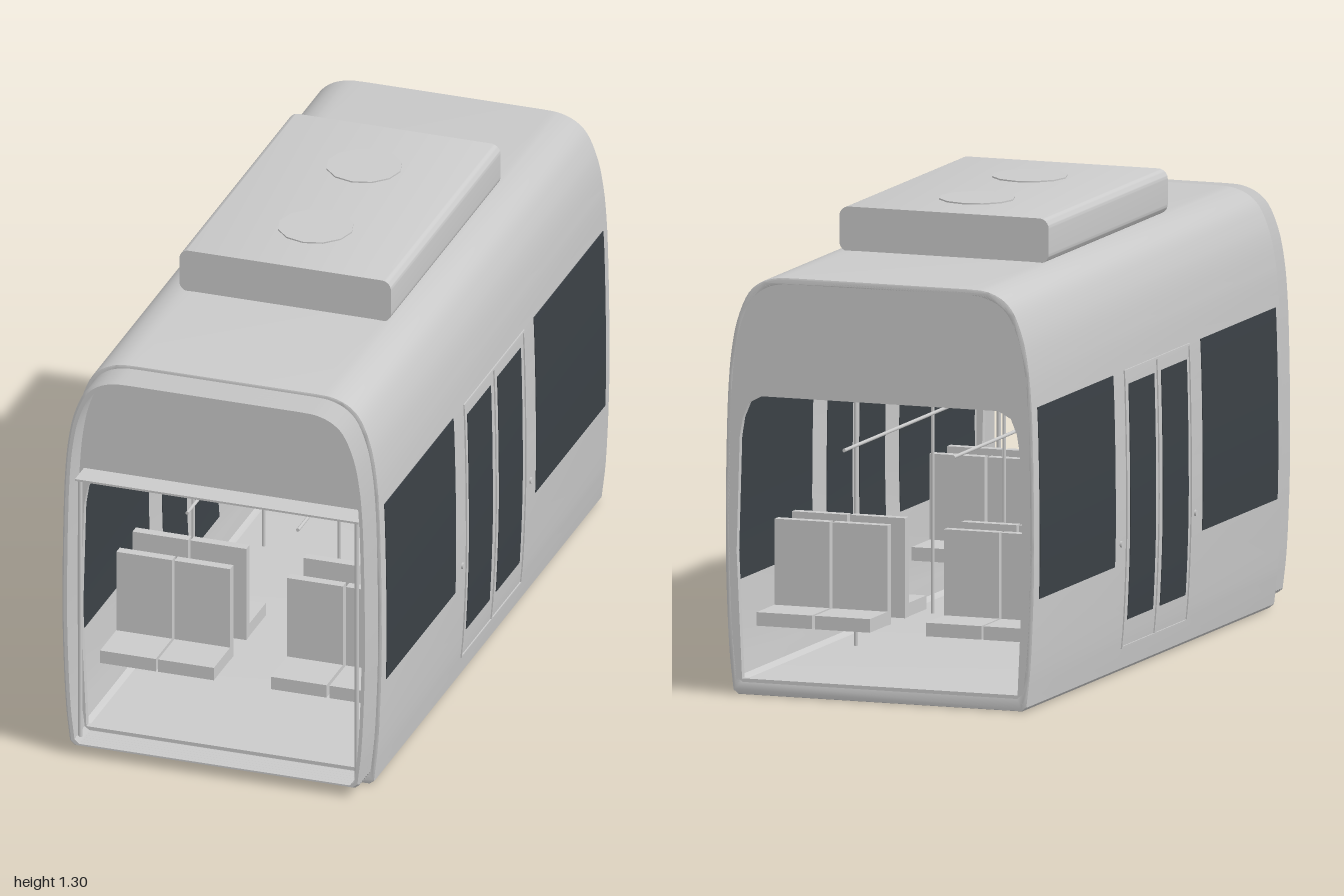
import * as THREE from 'three';
import { toCreasedNormals } from 'three/addons/utils/BufferGeometryUtils.js';

const grey = new THREE.MeshStandardMaterial({ color: 0xcacaca });
grey.name = 'bodyGrey';
const dark = new THREE.MeshStandardMaterial({ color: 0x3b4146 });
dark.name = 'glassDark';

// Half of the body section, from the sill up to the middle of the roof
const wall = new THREE.CatmullRomCurve3([
  [0.435, 0.012], [0.447, 0.12], [0.457, 0.35], [0.458, 0.5], [0.455, 0.72], [0.450, 0.86],
  [0.441, 0.96], [0.423, 1.05], [0.39, 1.125], [0.355, 1.156], [0.31, 1.172], [0.26, 1.175],
].map(([x, y]) => new THREE.Vector3(x, y, 0))).getPoints(44);

// Half section rescaled to a half width and a height range
const half = (w, y0, y1) => [new THREE.Vector2(0.42 * w / 0.46, y0),
  ...wall.map((p) => new THREE.Vector2(p.x * w / 0.46, y0 + (p.y / 1.175) * (y1 - y0)))];
const mirrored = (pts) => [...pts, ...pts.map((p) => new THREE.Vector2(-p.x, p.y)).reverse()];
const outline = (w, y0, y1) => mirrored(half(w, y0, y1));

const OUTER = half(0.46, 0, 1.175);
const INNER = half(0.443, 0.04, 1.152);

// Wall half width at height y
function widthAt(pts, y) {
  const i = Math.max(1, pts.findIndex((p) => p.y >= y));
  const a = pts[i - 1], b = pts[i];
  return a.x + (b.x - a.x) * (y - a.y) / (b.y - a.y);
}

function add(parent, name, geo, mat = grey, x = 0, y = 0, z = 0) {
  const m = new THREE.Mesh(geo, mat);
  m.name = name;
  m.position.set(x, y, z);
  parent.add(m);
  return m;
}

// Box given by its limits
function box(parent, name, [x0, x1], [y0, y1], [z0, z1], mat = grey) {
  return add(parent, name, new THREE.BoxGeometry(x1 - x0, y1 - y0, z1 - z0), mat,
    (x0 + x1) / 2, (y0 + y1) / 2, (z0 + z1) / 2);
}

// Thin plate bent to follow the side wall
function wallPlate(parent, name, side, pts, offset, [z0, z1], [y0, y1], mat) {
  const g = new THREE.BoxGeometry(0.006, y1 - y0, z1 - z0, 1, 14, 1);
  g.translate(0, (y0 + y1) / 2, (z0 + z1) / 2);
  const p = g.attributes.position;
  for (let i = 0; i < p.count; i++) {
    p.setX(i, p.getX(i) + side * (widthAt(pts, p.getY(i)) + offset));
  }
  g.computeVertexNormals();
  add(parent, name, toCreasedNormals(g, 0.6), mat);
}

// Surface through a list of closed rings {pts, z}
function loft(rings) {
  const n = rings[0].pts.length, pos = [], idx = [];
  rings.forEach((r) => r.pts.forEach((p) => pos.push(p.x, p.y, r.z)));
  for (let k = 0; k < rings.length - 1; k++) {
    for (let j = 0; j < n; j++) {
      const a = k * n + j, b = k * n + (j + 1) % n;
      idx.push(a, b, b + n, a, b + n, a + n);
    }
  }
  const g = new THREE.BufferGeometry();
  g.setAttribute('position', new THREE.Float32BufferAttribute(pos, 3));
  g.setIndex(idx);
  return toCreasedNormals(g, 0.5);
}

function holed(outer, hole, options) {
  const s = new THREE.Shape(outer);
  s.holes.push(new THREE.Path(hole));
  return toCreasedNormals(new THREE.ExtrudeGeometry(s, options), 0.5);
}

export function createModel() {
  const model = new THREE.Group();
  model.name = 'tramSection';

  // Hollow body shell with softened ends
  add(model, 'bodyShell', holed(mirrored(OUTER), mirrored(INNER), {
    depth: 1.895, bevelEnabled: true, bevelThickness: 0.005, bevelSize: 0.005,
    bevelOffset: -0.005, bevelSegments: 2,
  }), grey, 0, 0, -0.995);

  // End walls with an arched gangway opening
  const arch = mirrored([[0.408, 0.045], [0.424, 0.4], [0.415, 0.72], [0.406, 0.775], [0.388, 0.818], [0.35, 0.838]]
    .map(([x, y]) => new THREE.Vector2(x, y)));
  for (const [name, z] of [['frontEndWall', 0.885], ['backEndWall', -1]]) {
    add(model, name, holed(outline(0.452, 0.012, 1.165), arch, { depth: 0.02, bevelEnabled: false }), grey, 0, 0, z);
  }

  // Pleated bellows: outer skin forwards, inner skin back
  const pleats = 7, skin = (inset) => Array.from({ length: pleats * 2 + 1 }, (_, i) => {
    const d = inset + (i % 2 ? 0 : 0.006);
    return { pts: outline(0.449 - d, 0.028 + d * 0.5, 1.166 - d), z: 0.9 + 0.1 * i / (pleats * 2) };
  });
  add(model, 'bellows', loft([...skin(0), ...skin(0.01).reverse()]));

  // Gangway shelf and posts inside the bellows
  box(model, 'gangwayShelf', [-0.415, 0.415], [0.832, 0.838], [0.9, 0.98]);
  for (const s of [-1, 1]) {
    add(model, 'gangwayPost', new THREE.CylinderGeometry(0.006, 0.006, 0.79, 10), grey, s * 0.405, 0.437, 0.965);
  }

  // Windows, doors and door buttons on both sides
  for (const s of [-1, 1]) {
    for (const z of [[0.292, 0.868], [-0.96, -0.38]]) {
      wallPlate(model, 'window', s, OUTER, -0.001, z, [0.312, 0.848], dark);
      wallPlate(model, 'windowInside', s, INNER, 0.001, z, [0.312, 0.848], dark);
    }
    for (const glass of [[-0.015, 0.18], [-0.265, -0.07]]) {
      wallPlate(model, 'doorGlass', s, OUTER, -0.001, glass, [0.148, 0.808], dark);
      wallPlate(model, 'doorGlassInside', s, INNER, 0.001, glass, [0.148, 0.808], dark);
    }
    // Raised door frame and the seam between the leaves
    for (const z of [0.203, -0.045, -0.293]) {
      wallPlate(model, 'doorFrameUpright', s, OUTER, 0.001, [z - 0.003, z + 0.003], [0.07, 0.85], grey);
    }
    for (const y of [0.07, 0.844]) {
      wallPlate(model, 'doorFrameRail', s, OUTER, 0.001, [-0.296, 0.206], [y, y + 0.006], grey);
    }
    for (const z of [0.235, -0.335]) {
      const b = add(model, 'doorButton', new THREE.CylinderGeometry(0.009, 0.009, 0.012, 12), grey, s * 0.457, 0.37, z);
      b.rotation.z = Math.PI / 2;
    }
  }

  // Seats: back-to-back pairs of rows beneath each window
  for (const [z, dir] of [[0.61, 1], [0.475, -1], [-0.58, 1], [-0.715, -1]]) {
    for (const x of [-0.337, -0.167, 0.163, 0.335]) {
      const seat = new THREE.Group();
      seat.name = 'seat';
      add(seat, 'seatBack', new THREE.BoxGeometry(0.163, 0.28, 0.028), grey, 0, 0.31, 0);
      add(seat, 'seatPan', new THREE.BoxGeometry(0.163, 0.038, 0.14), grey, 0, 0.19, dir * 0.08);
      seat.position.set(x, 0, z);
      model.add(seat);
    }
  }

  // Grab poles and overhead rails
  const pole = (x, z, top) => add(model, 'grabPole',
    new THREE.CylinderGeometry(0.005, 0.005, top - 0.035, 10), grey, x, (top + 0.035) / 2, z);
  pole(0, -0.045, 1.155);
  for (const s of [-1, 1]) {
    for (const z of [0.25, -0.34]) pole(s * 0.325, z, 0.82);
    const rail = add(model, 'handRail', new THREE.CylinderGeometry(0.005, 0.005, 1.62, 10), grey, s * 0.162, 0.675, -0.045);
    rail.rotation.x = Math.PI / 2;
  }

  // Passenger display
  box(model, 'displayCase', [-0.118, 0.118], [0.727, 0.81], [-0.035, -0.01]);
  box(model, 'displayScreen', [-0.11, 0.11], [0.732, 0.802], [-0.011, -0.006], dark);

  // Roof equipment box with two fan covers
  const w = 0.31, r = 0.028, y0 = 1.172, y1 = 1.298;
  const unit = new THREE.Shape();
  unit.absarc(w - r, y0 + r, r, -Math.PI / 2, 0);
  unit.absarc(w - r, y1 - r, r, 0, Math.PI / 2);
  unit.absarc(-w + r, y1 - r, r, Math.PI / 2, Math.PI);
  unit.absarc(-w + r, y0 + r, r, Math.PI, Math.PI * 1.5);
  add(model, 'roofUnit', toCreasedNormals(new THREE.ExtrudeGeometry(unit,
    { depth: 0.915, bevelEnabled: false, curveSegments: 6 }), 0.5), grey, 0, 0, -0.507);
  for (const z of [0.152, -0.253]) {
    add(model, 'fanCover', new THREE.CylinderGeometry(0.106, 0.106, 0.008, 12), grey, 0, 1.298, z);
  }

  return model;
}
